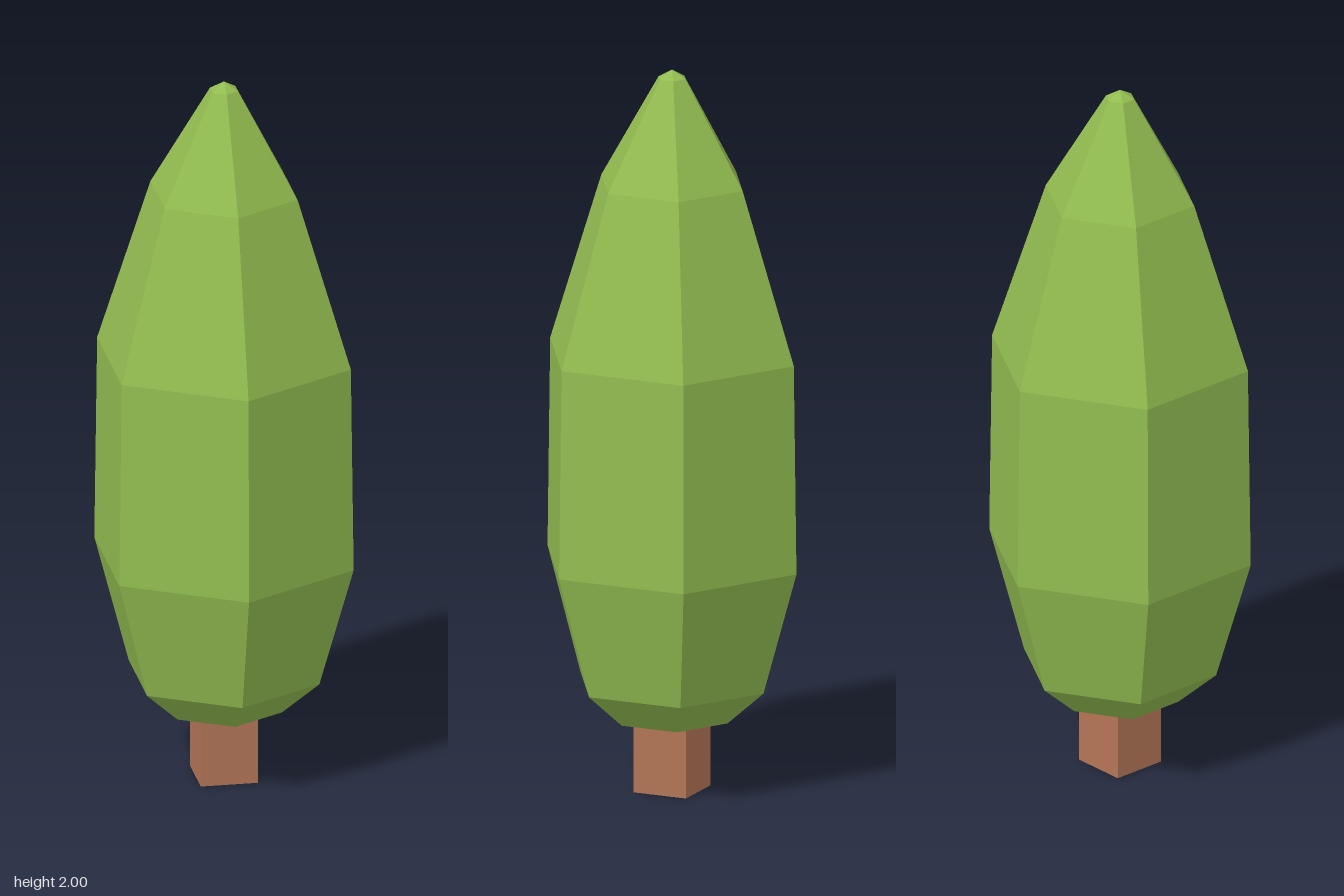
import * as THREE from 'three';

const leafGreen = new THREE.MeshStandardMaterial({ color: 0x92bc50 });
leafGreen.name = 'leafGreen';
const barkBrown = new THREE.MeshStandardMaterial({ color: 0xb37556, side: THREE.DoubleSide });
barkBrown.name = 'barkBrown';

// Mesh with one normal per face for the low-poly look
function facetedMesh(name, geometry, material) {
  const flat = geometry.toNonIndexed();
  flat.computeVertexNormals();
  const mesh = new THREE.Mesh(flat, material);
  mesh.name = name;
  return mesh;
}

export function createModel() {
  const tree = new THREE.Group();
  tree.name = 'tree';

  // Six-sided crown, corners on the z axis: [radius, height] from bottom to tip
  const profile = [
    [0, 0.2], [0.165, 0.2], [0.272, 0.295], [0.37, 0.637],
    [0.362, 1.215], [0.21, 1.685], [0.04, 1.977], [0, 2],
  ].map(([r, y]) => new THREE.Vector2(r, y));
  tree.add(facetedMesh('crown', new THREE.LatheGeometry(profile, 6), leafGreen));

  // Square trunk, open at both ends
  const half = 0.078;
  const trunk = new THREE.CylinderGeometry(half * Math.SQRT2, half * Math.SQRT2, 0.2, 4, 1, true);
  trunk.rotateY(Math.PI / 4).translate(0, 0.1, 0);
  tree.add(facetedMesh('trunk', trunk, barkBrown));

  return tree;
}
